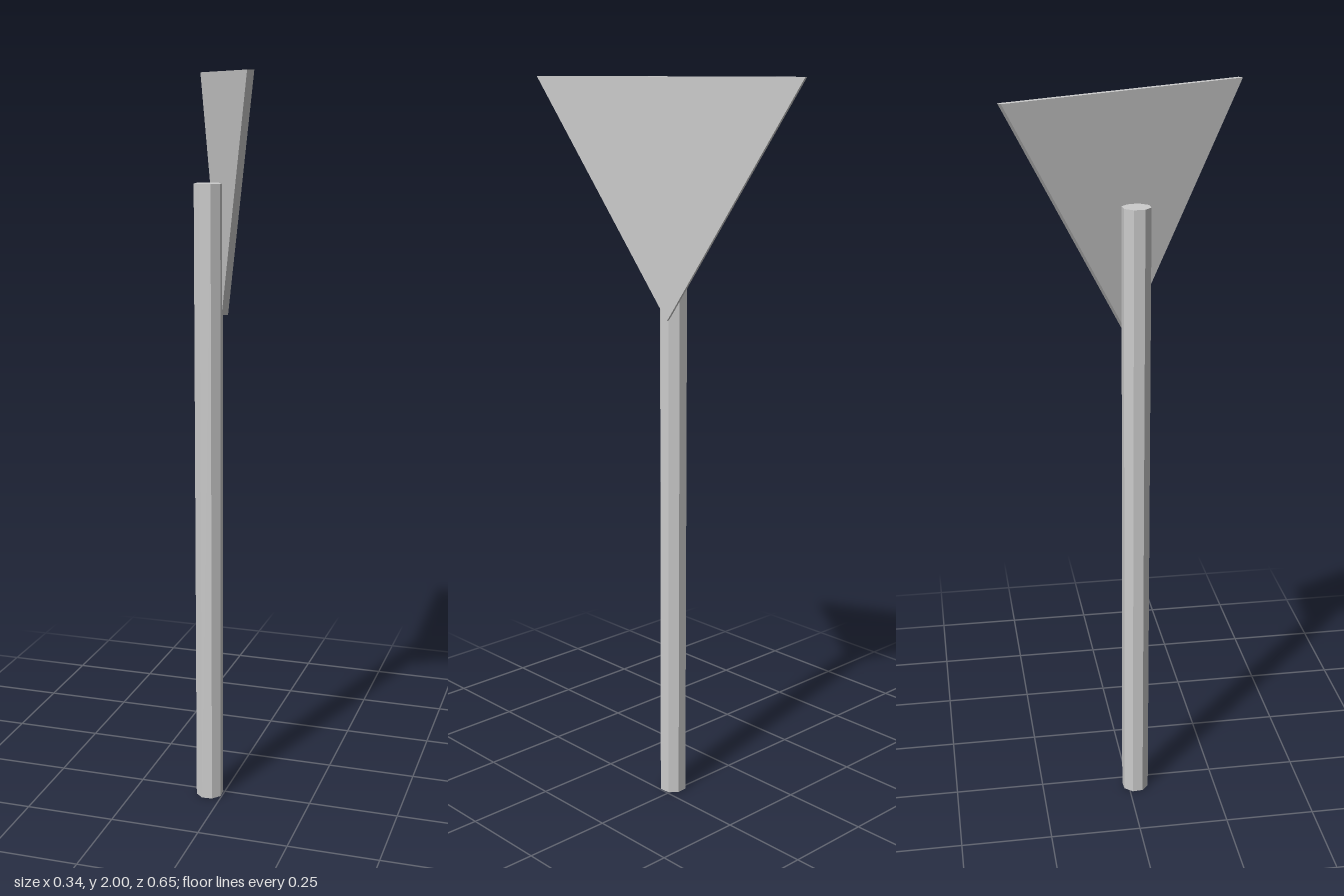
import * as THREE from 'three';

export function createModel() {
  const group = new THREE.Group();
  const material = new THREE.MeshStandardMaterial({ color: 0xcccccc, flatShading: true });

  // The sign and its post share one turn about the vertical axis
  const sign = new THREE.Group();
  sign.name = 'yieldSign';
  sign.rotation.y = Math.atan(0.5);
  group.add(sign);

  // Octagonal post standing against the back of the plate
  const postHeight = 1.72;
  const post = new THREE.Mesh(new THREE.CylinderGeometry(0.038, 0.038, postHeight, 8), material);
  post.name = 'post';
  post.position.set(-0.0435, postHeight / 2, 0);
  sign.add(post);

  // Thin equilateral plate pointing down
  const halfWidth = 0.36, thickness = 0.017, top = 2;
  const triangle = new THREE.Shape([
    new THREE.Vector2(-halfWidth, top),
    new THREE.Vector2(0, top - halfWidth * Math.sqrt(3)),
    new THREE.Vector2(halfWidth, top),
  ]);
  const plateGeometry = new THREE.ExtrudeGeometry(triangle, { depth: thickness, bevelEnabled: false });
  plateGeometry.translate(0, 0, -thickness / 2);
  plateGeometry.rotateY(Math.PI / 2);
  const plate = new THREE.Mesh(plateGeometry, material);
  plate.name = 'triangularPlate';
  sign.add(plate);

  return group;
}
